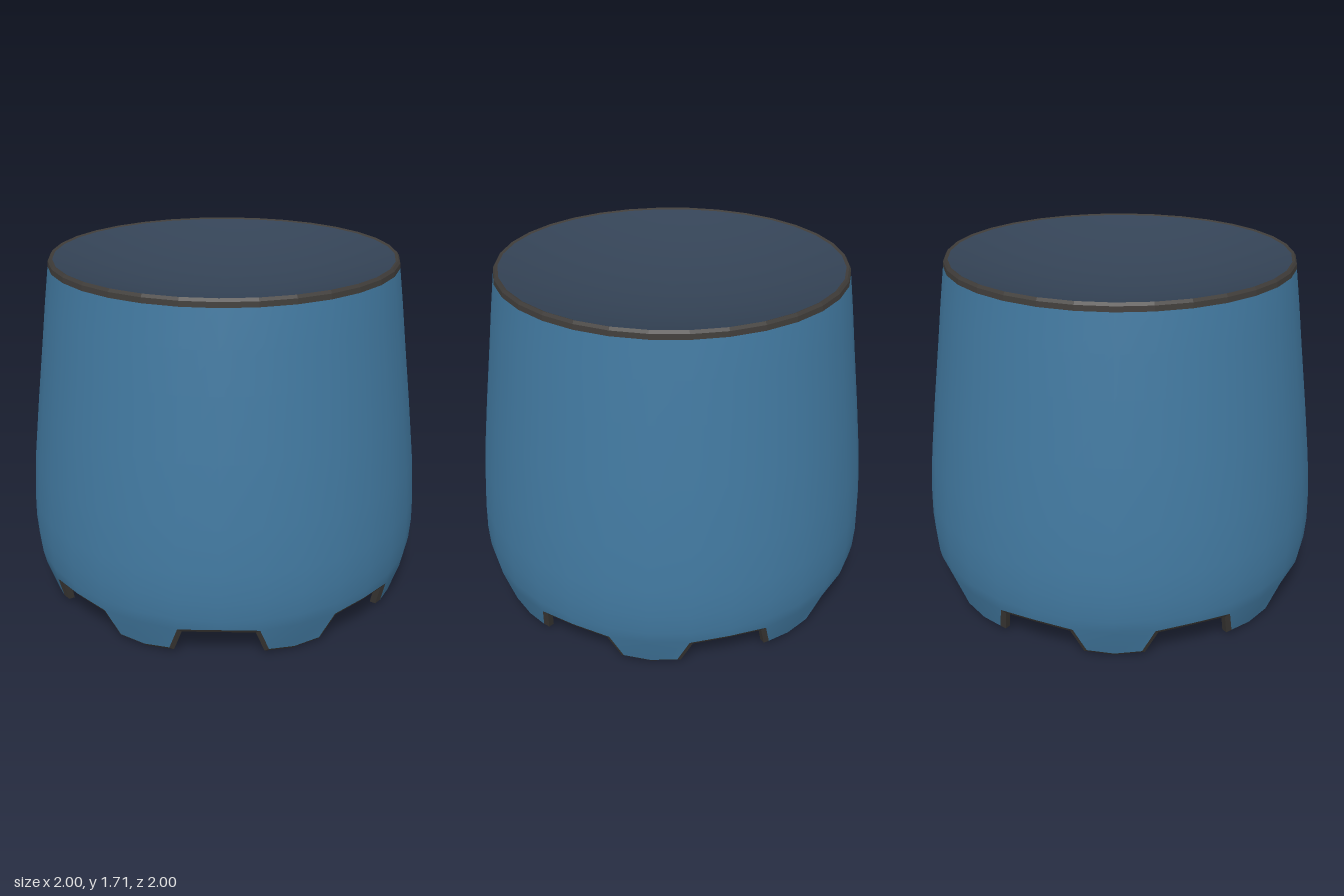
import * as THREE from 'three';

const SIDES = 32, STEP = 11.25, WALL = 0.05;
const blue = new THREE.MeshStandardMaterial({ color: 0x41789f });
const slate = new THREE.MeshStandardMaterial({ color: 0x344356 });
const dark = new THREE.MeshStandardMaterial({ color: 0x403d3a, flatShading: true });

// Outer profile: [height, radius]
const PROFILE = [[0, 0.92], [0.035, 0.935], [0.175, 0.98], [0.24, 0.993], [0.35, 1], [0.48, 0.997],
  [0.7, 0.98], [1.0, 0.944], [1.3, 0.905], [1.5, 0.88], [1.675, 0.856]];

// Rounded cavity above the feet: [height, inset from the outside]
const CAVITY = [[0.26, WALL], [0.32, 0.07], [0.37, 0.11], [0.41, 0.2], [0.445, 0.36],
  [0.47, 0.6], [0.48, 0.997]];

function radiusAt(y) {
  let i = 1;
  while (i < PROFILE.length - 1 && y > PROFILE[i][0]) i++;
  const [y0, r0] = PROFILE[i - 1], [y1, r1] = PROFILE[i];
  return THREE.MathUtils.mapLinear(y, y0, y1, r0, r1);
}

// Point on the wall at an angle in degrees and a height, set in from the outside
function wallPoint(deg, y, inset) {
  const a = THREE.MathUtils.degToRad(deg), r = radiusAt(y) - inset;
  return [r * Math.sin(a), y, r * Math.cos(a)];
}

// Closed surface band from loops of [degrees, height, inset], listed bottom to top
function bands(loops, skip = () => false, flip = false) {
  const n = loops[0].length, index = [];
  for (let j = 0; j < loops.length - 1; j++) {
    for (let i = 0; i < n; i++) {
      if (skip(j, i)) continue;
      const k = (i + 1) % n;
      const a = j * n + i, b = j * n + k, c = a + n, d = b + n;
      if (flip) index.push(a, d, b, a, c, d);
      else index.push(a, b, d, a, d, c);
    }
  }
  const geo = new THREE.BufferGeometry();
  const pos = loops.flat().flatMap((p) => wallPoint(...p));
  geo.setAttribute('position', new THREE.Float32BufferAttribute(pos, 3));
  geo.setIndex(index);
  geo.computeVertexNormals();
  return geo;
}

// Wall with eight feet: columns cycle notch centre, notch side, foot centre, notch side
function wall(rows, inset, flip) {
  const column = [...Array(SIDES).keys()];
  const foot = column.map((i) => {
    const shift = [0, 3.25, 0, -3.25][i % 4];
    return [i * STEP + shift, i % 4 === 2 ? 0.02 : 0.035, inset];
  });
  const hip = column.map((i) => [i * STEP, i % 4 === 0 ? 0.19 : 0.175, inset]);
  const upper = rows.map(([y, rowInset]) => column.map((i) => [i * STEP, y, rowInset]));
  const isNotch = (j, i) => j === 0 && (i % 4 === 0 || i % 4 === 3);
  return bands([foot, hip, ...upper], isNotch, flip);
}

// Edge outline of one foot and notch: [degrees, height, shift towards the foot]
const EDGE = [[0, 0.19, 0], [11.25, 0.175, 1], [14.5, 0.035, 1], [22.5, 0.02, 0],
  [30.5, 0.035, -1], [33.75, 0.175, -1]];

function edgeLoop(inset, drop) {
  const loop = [];
  for (let f = 0; f < 8; f++) {
    for (const [deg, y, dir] of EDGE) loop.push([f * 45 + deg - dir * drop * 50, y - drop, inset]);
  }
  return loop;
}

function lathe(points) {
  return new THREE.LatheGeometry(points.map(([r, y]) => new THREE.Vector2(r, y)), SIDES);
}

export function createModel() {
  const group = new THREE.Group();
  const add = (name, geo, mat) => {
    const mesh = new THREE.Mesh(geo, mat);
    mesh.name = name;
    group.add(mesh);
  };

  add('outerWall', wall(PROFILE.slice(3).map(([y]) => [y, 0]), 0, false), blue);
  add('underside', wall(CAVITY, WALL, true), slate);

  // Bevelled dark trim along the feet and notches
  add('bottomTrim', bands([edgeLoop(WALL, 0), edgeLoop(WALL - 0.01, 0.02),
    edgeLoop(0.01, 0.02), edgeLoop(0, 0)]), dark);

  // Dark trim around the seat
  add('topTrim', lathe([[0.856, 1.675], [0.854, 1.7], [0.845, 1.714], [0.832, 1.708]]), dark);

  // Dished seat
  const dish = [];
  for (let i = 0; i <= 10; i++) {
    const t = 1 - i / 10;
    dish.push([0.832 * t, 1.568 + 0.14 * t * t]);
  }
  add('seat', lathe(dish), slate);

  return group;
}
